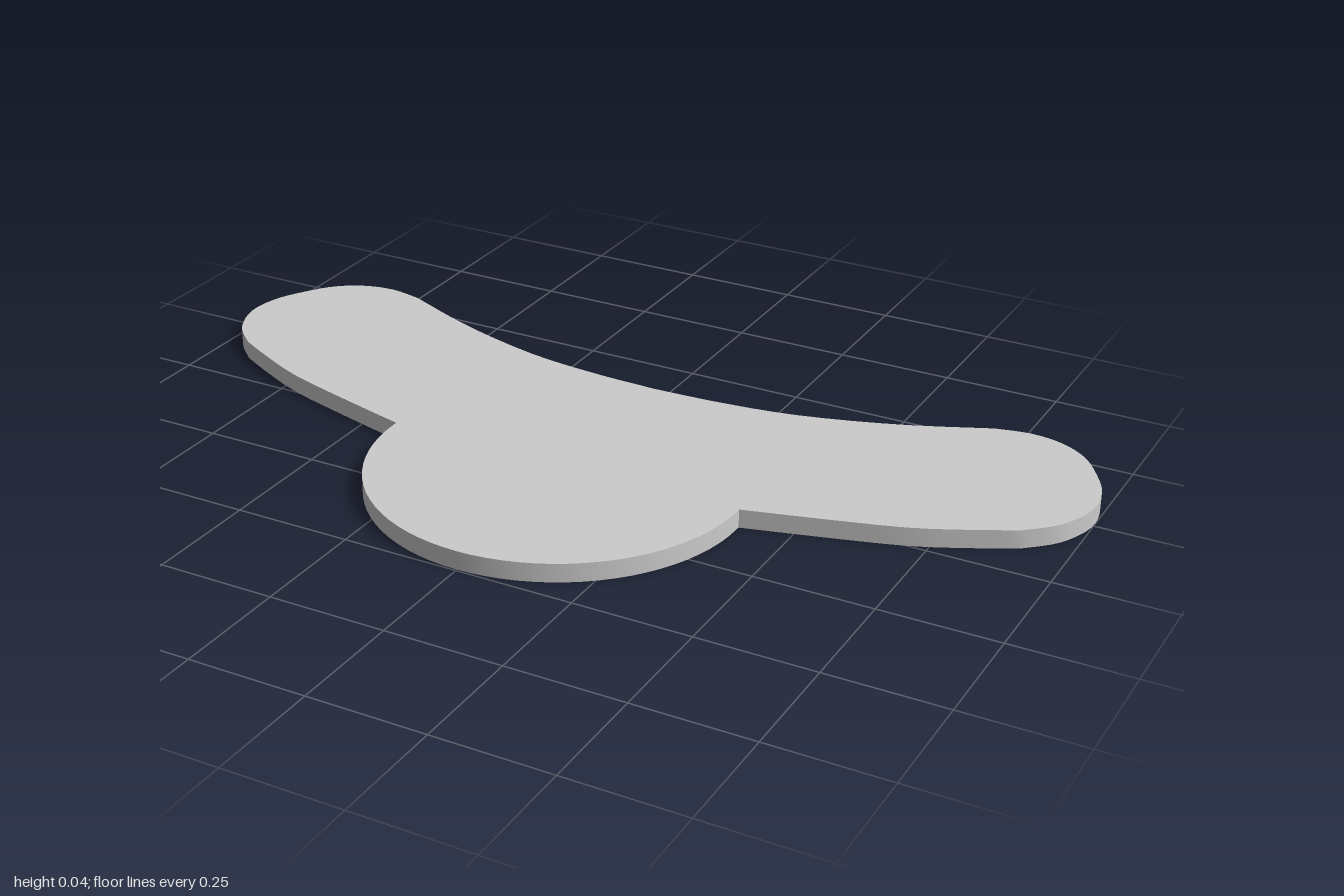
import * as THREE from 'three';
import { toCreasedNormals } from 'three/addons/utils/BufferGeometryUtils.js';

const THICKNESS = 0.04;

// Smooth run of outline points through a few [x, z] stations
const smooth = (stations, steps) =>
  new THREE.SplineCurve(stations.map(([x, z]) => new THREE.Vector2(x, z))).getPoints(steps);

export function createModel() {
  const group = new THREE.Group();
  group.name = 'wingedPlate';

  // Left wing: front edge, rounded tip, then the concave back edge to the middle
  const wing = [
    ...smooth([[0.395, 0.09], [0.56, 0.045], [0.71, 0], [0.82, -0.05], [0.905, -0.095]], 12),
    ...smooth([[0.905, -0.095], [0.965, -0.155], [0.998, -0.24], [0.99, -0.32], [0.955, -0.39],
      [0.91, -0.45], [0.85, -0.487], [0.78, -0.499], [0.705, -0.485]], 32).slice(1),
    ...smooth([[0.705, -0.485], [0.52, -0.405], [0.32, -0.345], [0.15, -0.322], [0, -0.315]], 14).slice(1),
  ];
  const mirrored = wing.slice(0, -1).reverse().map((p) => new THREE.Vector2(-p.x, p.y));

  // Round front lobe, running from the right wing back to the left wing
  const lobe = [];
  for (let i = 1; i < 40; i++) {
    const a = Math.PI * (1 - i / 40);
    lobe.push(new THREE.Vector2(0.395 * Math.cos(a), 0.1 + 0.396 * Math.sin(a)));
  }

  // Extrude the outline and lay it flat
  const outline = [...wing, ...mirrored, ...lobe].map((p) => new THREE.Vector2(p.x, -p.y));
  const plate = new THREE.ExtrudeGeometry(new THREE.Shape(outline), { depth: THICKNESS, bevelEnabled: false });
  plate.rotateX(-Math.PI / 2);

  const mesh = new THREE.Mesh(
    toCreasedNormals(plate, 0.6),
    new THREE.MeshStandardMaterial({ color: 0xcccccc }),
  );
  mesh.name = 'plate';
  group.add(mesh);
  return group;
}
